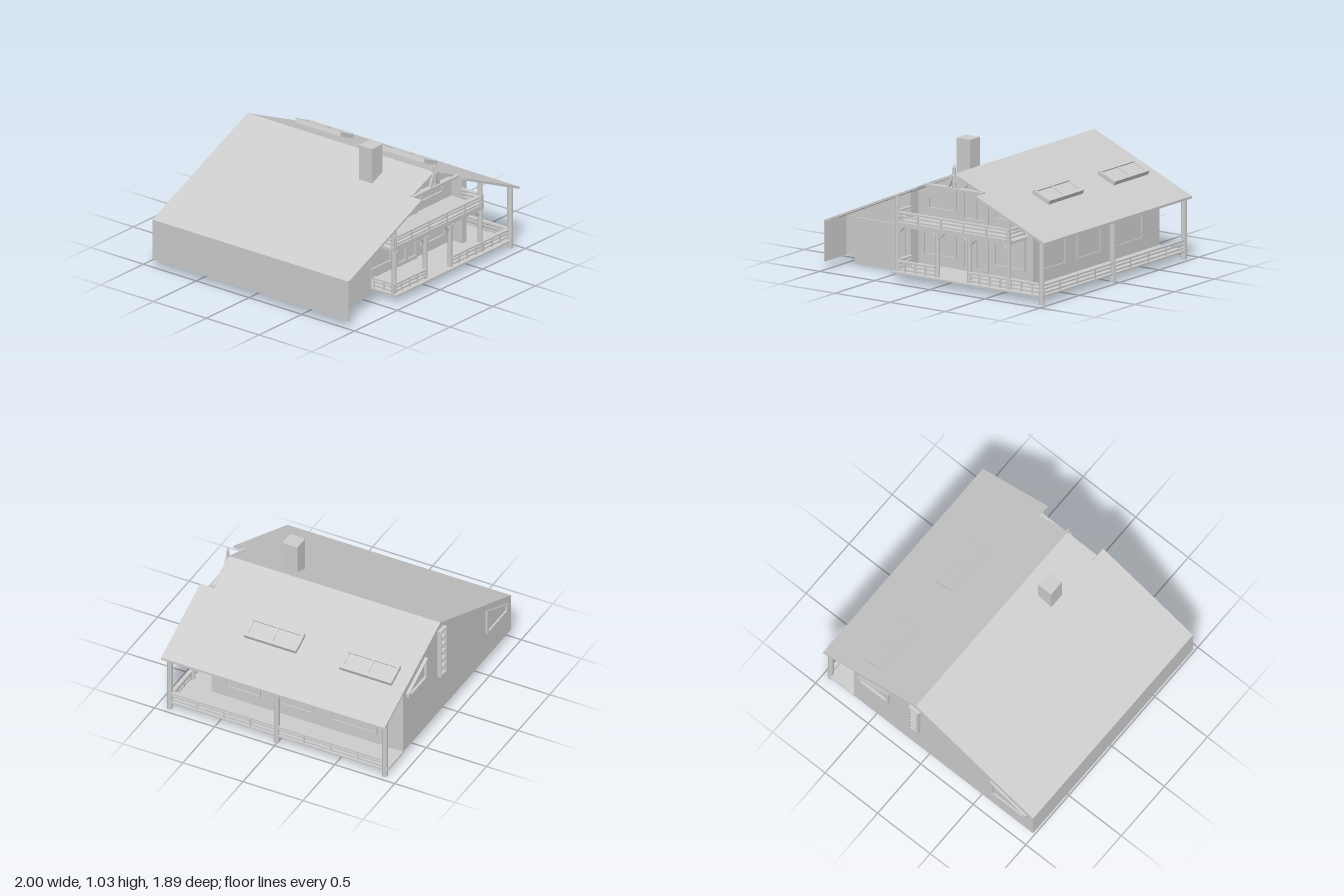
import * as THREE from 'three';

const mat = new THREE.MeshStandardMaterial({ color: 0xcccccc, flatShading: true, side: THREE.DoubleSide });
const RIDGE_X = 0.115, RIDGE_Y = 0.865, SLOPE = 0.435;
const roofY = (x) => RIDGE_Y - SLOPE * Math.abs(x - RIDGE_X);

export function createModel() {
  const model = new THREE.Group();

  const add = (name, geo, parent = model) => {
    const mesh = new THREE.Mesh(geo, mat);
    mesh.name = name;
    parent.add(mesh);
    return mesh;
  };
  // Box given by its limits on each axis
  const box = (name, x0, x1, y0, y1, z0, z1, parent) => {
    const m = add(name, new THREE.BoxGeometry(x1 - x0, y1 - y0, z1 - z0), parent);
    m.position.set((x0 + x1) / 2, (y0 + y1) / 2, (z0 + z1) / 2);
    return m;
  };
  // Square bar between two points
  const beam = (name, a, b, w = 0.015, d = w) => {
    const p = new THREE.Vector3(...a), q = new THREE.Vector3(...b);
    const m = add(name, new THREE.BoxGeometry(w, d, p.distanceTo(q)));
    m.position.copy(p).lerp(q, 0.5);
    m.lookAt(q);
    return m;
  };
  const post = (name, x, y0, y1, z, r = 0.022) => {
    const m = add(name, new THREE.CylinderGeometry(r, r, y1 - y0, 10));
    m.position.set(x, (y0 + y1) / 2, z);
  };
  const shapeOf = (pts) => new THREE.Shape(pts.map((p) => new THREE.Vector2(...p)));
  const slab = (name, pts, z, depth, parent) => {
    const m = add(name, new THREE.ExtrudeGeometry(shapeOf(pts), { depth, bevelEnabled: false }), parent);
    m.position.z = z;
    return m;
  };
  // Raised frame around a recessed pane
  const panel = (name, pts, z, depth, inset = 0.84, outward = 1) => {
    const g = new THREE.Group();
    g.name = name;
    const xs = pts.map((p) => p[0]), ys = pts.map((p) => p[1]);
    const cx = (Math.min(...xs) + Math.max(...xs)) / 2;
    const cy = ys.reduce((s, y) => s + y, 0) / ys.length;
    const inner = pts.map(([x, y]) => [cx + (x - cx) * inset, cy + (y - cy) * inset]);
    const shape = shapeOf(pts);
    shape.holes.push(shapeOf(inner));
    const z0 = outward > 0 ? z : z - depth;
    add('frame', new THREE.ExtrudeGeometry(shape, { depth, bevelEnabled: false }), g).position.z = z0;
    slab('pane', inner, outward > 0 ? z : z - depth * 0.3, depth * 0.3, g);
    model.add(g);
    return g;
  };
  const rect = (x0, x1, y0, y1) => [[x0, y0], [x1, y0], [x1, y1], [x0, y1]];
  const arch = (x0, x1, y0, spring) => {
    const r = (x1 - x0) / 2, pts = [[x0, y0], [x1, y0]];
    for (let i = 0; i <= 8; i++) {
      const a = (i / 8) * Math.PI;
      pts.push([(x0 + x1) / 2 + r * Math.cos(a), spring + r * 0.7 * Math.sin(a)]);
    }
    return pts;
  };

  // Roof halves: notched plans dropped onto the pitch
  const roofHalf = (name, eave, notch) => {
    const plan = [[eave, -0.915], [RIDGE_X, -0.915], [RIDGE_X, 0.83], [notch, 0.83], [notch, 0.945], [eave, 0.945]];
    const geo = new THREE.ExtrudeGeometry(shapeOf(plan), { depth: 0.018, bevelEnabled: false });
    geo.rotateX(Math.PI / 2);
    const p = geo.attributes.position;
    for (let i = 0; i < p.count; i++) p.setY(i, p.getY(i) + roofY(p.getX(i)));
    geo.computeVertexNormals();
    add(name, geo);
  };
  roofHalf('leftRoof', -1, -0.145);
  roofHalf('rightRoof', 1, 0.38);

  // House walls
  const under = (x) => roofY(x) - 0.012;
  slab('backWall', [[-1, 0.065], [0.705, 0.065], [0.705, under(0.705)], [RIDGE_X, under(RIDGE_X)], [-1, under(-1)]], -0.915, 0.01);
  slab('frontWall', [[-0.42, 0.06], [0.7, 0.06], [0.7, under(0.7)], [RIDGE_X, under(RIDGE_X)], [-0.42, under(-0.42)]], 0.57, 0.01);
  slab('garageWall', [[-1, 0.065], [-0.41, 0.065], [-0.41, under(-0.41)], [-1, under(-1)]], 0.665, 0.01);
  box('leftWall', -1, -0.99, 0.065, under(-1), -0.915, 0.945);
  box('rightWall', 0.69, 0.705, 0.06, under(0.705), -0.915, 0.68);
  box('garageSideWall', -0.42, -0.405, 0.06, under(-0.42), 0.57, 0.68);
  box('frontCornerWall', 0.655, 0.705, 0.06, under(0.705), 0.57, 0.68);
  box('garageDoor', -0.905, -0.45, 0.01, 0.365, 0.66, 0.69);

  // Porch floor and balcony floor
  box('frontPorchFloor', -0.41, 0.96, 0.055, 0.068, 0.57, 0.92);
  box('sidePorchFloor', 0.7, 0.96, 0.055, 0.068, -0.915, 0.57);
  box('balconyFloor', -0.41, 0.65, 0.41, 0.428, 0.575, 0.885);
  box('balconyFrontBeam', -0.41, 0.65, 0.405, 0.44, 0.865, 0.89);

  // Posts
  for (const z of [0.9, 0.01, -0.89]) post('sidePorchPost', 0.945, 0, 0.495, z);
  const frontX = [-0.385, -0.02, 0.27, 0.625];
  frontX.forEach((x, i) => {
    const outer = i === 0 || i === 3;
    post('frontPorchPost', x, 0.06, outer ? under(x) : 0.41, 0.875, 0.018);
    if (i < 3) { // angled braces below the balcony
      const n = frontX[i + 1];
      beam('brace', [x, 0.35, 0.875], [x + 0.065, 0.41, 0.875]);
      beam('brace', [n, 0.35, 0.875], [n - 0.065, 0.41, 0.875]);
    }
  });

  // Railings: handrail, two lower rails and sparse uprights
  const railing = (name, a, b, y, bays) => {
    const at = (t, h) => [a[0] + (b[0] - a[0]) * t, y + h, a[1] + (b[1] - a[1]) * t];
    beam(name + 'Handrail', at(0, 0.075), at(1, 0.075), 0.03, 0.014);
    for (const h of [0.015, 0.045]) beam(name + 'Rail', at(0, h), at(1, h), 0.01, 0.013);
    for (let i = 0; i <= bays; i++) {
      const [x, , z] = at(i / bays, 0);
      box(name + 'Upright', x - 0.006, x + 0.006, y, y + 0.075, z - 0.006, z + 0.006);
    }
  };
  railing('porchLeft', [-0.4, 0.885], [-0.03, 0.885], 0.068, 4);
  railing('porchRight', [0.27, 0.885], [0.94, 0.885], 0.068, 7);
  railing('porchEnd', [-0.39, 0.69], [-0.39, 0.88], 0.068, 2);
  railing('sideFront', [0.945, 0.89], [0.945, 0.01], 0.068, 4);
  railing('sideBack', [0.945, 0.01], [0.945, -0.89], 0.068, 4);
  railing('balconyFront', [-0.4, 0.885], [0.64, 0.885], 0.44, 5);
  railing('balconyLeft', [-0.395, 0.69], [-0.395, 0.88], 0.44, 1);
  railing('balconyRight', [0.635, 0.69], [0.635, 0.88], 0.44, 1);

  // Front doors and windows
  panel('frontDoor', arch(0, 0.235, 0.055, 0.33), 0.57, 0.025);
  box('frontDoorPost', 0.105, 0.13, 0.06, 0.355, 0.57, 0.592);
  panel('balconyDoor', arch(0, 0.235, 0.43, 0.67), 0.57, 0.025);
  box('balconyDoorPost', 0.105, 0.13, 0.43, 0.75, 0.57, 0.592);
  panel('leftWindow', rect(-0.36, -0.055, 0.14, 0.38), 0.575, 0.02, 0.9);
  panel('rightWindow', rect(0.285, 0.57, 0.14, 0.38), 0.575, 0.02, 0.9);
  for (const s of [-1, 1]) {
    const inX = RIDGE_X + s * 0.17, outX = RIDGE_X + s * 0.425;
    panel('gableWindow', [[inX, 0.5], [outX, 0.5], [outX, 0.58], [inX, 0.69]], 0.575, 0.02, 0.9);
  }

  // Side wall windows, turned to face +x
  for (const [z, w] of [[0.42, 0.3], [-0.02, 0.3], [-0.5, 0.4]]) {
    const g = panel('sideWindow', rect(-w / 2, w / 2, 0.16, 0.36), 0, 0.012, 0.9);
    g.rotation.y = Math.PI / 2;
    g.position.set(0.703, 0, z);
  }

  // Back windows and the tall slatted window
  panel('backLeftWindow', [[-0.94, 0.29], [-0.6, 0.29], [-0.6, 0.5], [-0.94, 0.345]], -0.91, 0.02, 0.84, -1);
  panel('backRightWindow', [[0.36, 0.54], [0.66, 0.54], [0.66, 0.575], [0.36, 0.71]], -0.91, 0.03, 0.84, -1);
  for (const x of [0.07, 0.15]) box('slatFrame', x, x + 0.015, 0.4, 0.815, -0.948, -0.91);
  for (let i = 0; i <= 6; i++) {
    const y = 0.4 + i * 0.0667;
    box('slat', 0.07, 0.165, y, y + 0.015, -0.945, -0.91);
  }

  // Front truss with finial
  box('trussBeam', -0.145, 0.38, 0.742, 0.76, 0.83, 0.875);
  for (const s of [-1, 1]) {
    beam('trussRafter', [RIDGE_X + s * 0.255, 0.748, 0.84], [RIDGE_X, 0.853, 0.84], 0.02);
    beam('trussStrut', [RIDGE_X + s * 0.05, 0.755, 0.855], [RIDGE_X + s * 0.008, 0.86, 0.855], 0.02);
  }
  const finial = add('finial', new THREE.LatheGeometry(
    [[0, 0.75], [0.018, 0.75], [0.018, 0.85], [0.012, 0.86], [0.012, 0.91], [0, 0.945]].map((p) => new THREE.Vector2(...p)), 6));
  finial.position.set(RIDGE_X, 0, 0.852);

  box('chimney', -0.14, -0.015, 0.72, 1.03, 0.345, 0.47);

  // Skylights lying on the right pitch
  for (const [x, z] of [[0.605, -0.59], [0.59, 0.212]]) {
    const g = new THREE.Group();
    g.name = 'skylight';
    g.position.set(x, roofY(x), z);
    g.rotation.z = -Math.atan(SLOPE);
    for (const e of [-0.205, 0, 0.205]) box('crossBar', -0.075, 0.075, -0.01, 0.03, e - 0.012, e + 0.012, g);
    for (const e of [-0.07, 0.07]) box('sideBar', e - 0.012, e + 0.012, -0.01, 0.034, -0.215, 0.215, g);
    box('glass', -0.07, 0.07, -0.01, 0.024, -0.21, 0.21, g);
    model.add(g);
  }
  return model;
}
